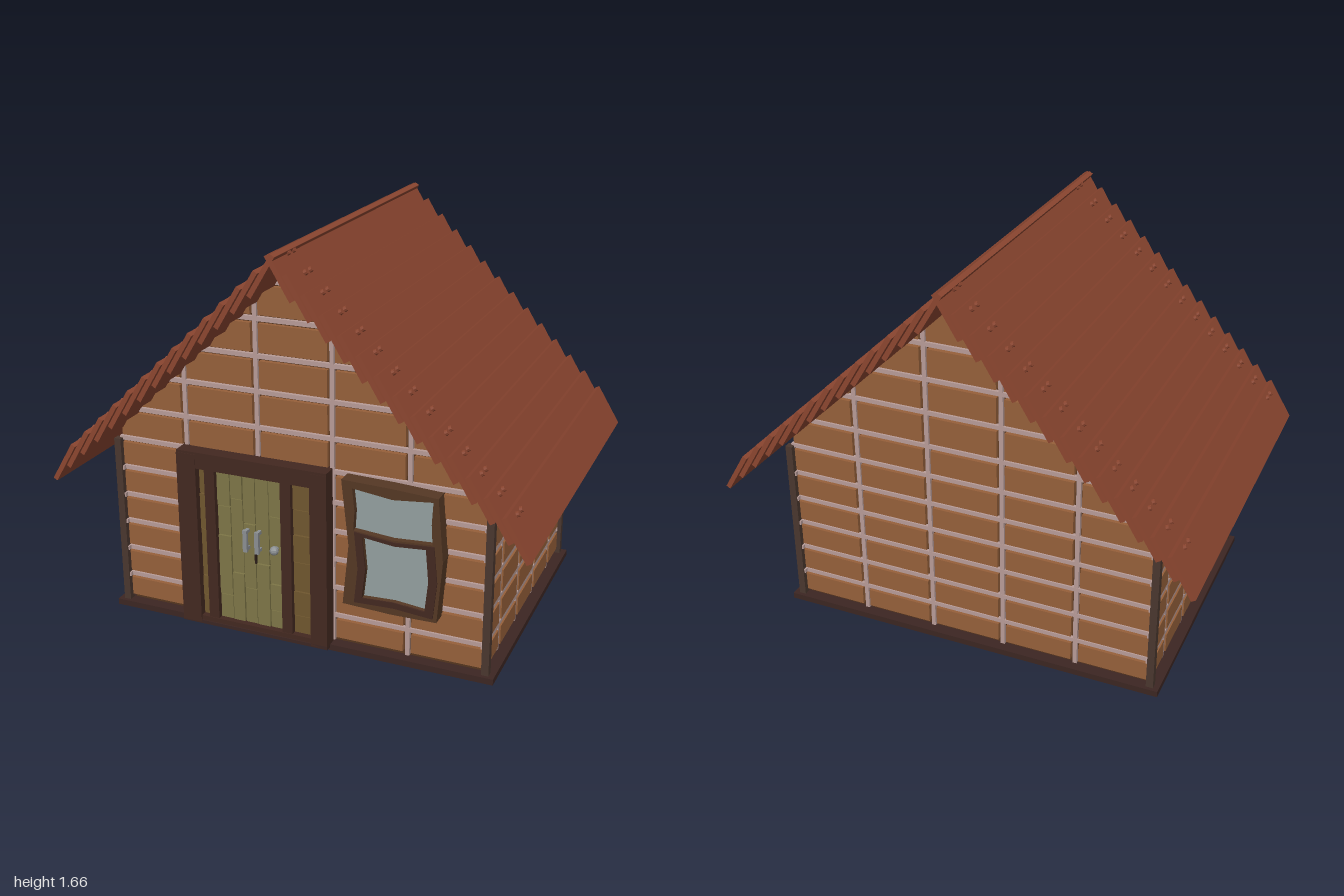
import * as THREE from 'three';
import { mergeGeometries } from 'three/addons/utils/BufferGeometryUtils.js';

const mat = (color) => new THREE.MeshStandardMaterial({ color, flatShading: true });
const M = {
  plank: mat(0x96603a), grout: mat(0xb89c98), core: mat(0x55351f), base: mat(0x3c2622),
  post: mat(0x4a372e), roof: mat(0x8c4630), frame: mat(0x432820), window: mat(0x553824),
  glass: mat(0x93a09f), door: mat(0x7e7647), side: mat(0x70572f), metal: mat(0x8b8f92), dark: mat(0x2a1d16),
};

function add(parent, name, geo, material, x = 0, y = 0, z = 0) {
  const m = new THREE.Mesh(geo, material);
  m.name = name;
  m.position.set(x, y, z);
  parent.add(m);
  return m;
}

// Box given by its limits
function slab(x0, x1, y0, y1, z0, z1) {
  return new THREE.BoxGeometry(x1 - x0, y1 - y0, z1 - z0)
    .translate((x0 + x1) / 2, (y0 + y1) / 2, (z0 + z1) / 2);
}

function plate(points, depth, z = 0, holes = []) {
  const toV = (pts) => pts.map(([x, y]) => new THREE.Vector2(x, y));
  const s = new THREE.Shape(toV(points));
  holes.forEach((h) => s.holes.push(new THREE.Path(toV(h))));
  return new THREE.ExtrudeGeometry(s, { depth, bevelEnabled: false }).translate(0, 0, z);
}

// Gable line: y = PEAK - SLOPE * |x|
const PEAK = 1.6, SLOPE = 0.9625;

// Cut a polygon at the gable line on one side
function clip(poly, side) {
  const room = ([x, y]) => PEAK - 0.015 - SLOPE * x * side - y;
  const out = [];
  poly.forEach((p, i) => {
    const q = poly[(i + 1) % poly.length], a = room(p), b = room(q);
    if (a >= 0) out.push(p);
    if (a * b < 0) out.push([p[0] + (q[0] - p[0]) * a / (a - b), p[1] + (q[1] - p[1]) * a / (a - b)]);
  });
  return out;
}

const ROWS = [0.03, 0.145, 0.27, 0.395, 0.517, 0.64, 0.77, 0.905, 1.055, 1.2, 1.35, 1.5, 1.6];

// Planks in a grid with pale strips in the gaps, facing +z
function wall(name, cols, rows, gable) {
  const g = new THREE.Group();
  g.name = name;
  const planks = [], strips = [], gap = 0.017;
  const end = cols[cols.length - 1], top = rows[rows.length - 1];
  for (let r = 0; r < rows.length - 1; r++) {
    for (let c = 0; c < cols.length - 1; c++) {
      const x0 = cols[c] + gap, x1 = cols[c + 1] - gap, y0 = rows[r] + gap, y1 = rows[r + 1] - gap;
      let p = [[x0, y0], [x1, y0], [x1, y1], [x0, y1]];
      if (gable) p = clip(clip(p, 1), -1);
      if (p.length > 2) planks.push(plate(p, 0.02));
    }
    if (r > 0) {
      const w = gable ? Math.min(end, (PEAK - rows[r]) / SLOPE) : end;
      strips.push(slab(-w, w, rows[r] - 0.009, rows[r] + 0.009, 0, 0.016));
    }
  }
  cols.slice(1, -1).forEach((x) => {
    const h = gable ? PEAK - SLOPE * Math.abs(x) : top;
    strips.push(slab(x - 0.009, x + 0.009, rows[0], h, 0, 0.0155));
  });
  add(g, 'planks', mergeGeometries(planks), M.plank);
  add(g, 'strips', mergeGeometries(strips), M.grout);
  return g;
}

function walls() {
  const g = new THREE.Group();
  g.name = 'walls';
  const e = PEAK - SLOPE * 0.78;
  add(g, 'core', plate([[-0.78, 0.02], [0.78, 0.02], [0.78, e], [0, PEAK], [-0.78, e]], 1.1, -0.55), M.core);
  for (const s of [1, -1]) {
    const end = wall(s > 0 ? 'frontWall' : 'backWall', [-0.8, -0.485, -0.165, 0.155, 0.475, 0.8], ROWS, true);
    end.rotation.y = s > 0 ? 0 : Math.PI;
    end.position.z = s * 0.55;
    const flank = wall(s > 0 ? 'leftWall' : 'rightWall', [-0.58, -0.385, -0.13, 0.13, 0.385, 0.58], ROWS.slice(0, 7), false);
    flank.rotation.y = s * Math.PI / 2;
    flank.position.x = s * 0.78;
    g.add(end, flank);
    for (const t of [1, -1]) {
      add(g, 'cornerPost', new THREE.BoxGeometry(0.03, 0.75, 0.03), M.post, s * 0.802, 0.395, t * 0.57);
    }
  }
  return g;
}

// Overlapping boards, each lower one lying over the one above
function roofSide(s) {
  const g = new THREE.Group();
  g.name = s > 0 ? 'leftRoof' : 'rightRoof';
  const tilt = Math.atan2(0.165, 0.1), boards = [], screws = [];
  for (let i = 0; i < 14; i++) {
    const x = 0.037 + 0.07 * i, y = 1.572 - 0.0665 * i;
    const place = (geo) => geo.rotateZ(-s * tilt).translate(s * x, y, 0);
    boards.push(place(new THREE.BoxGeometry(0.19, 0.02, 1.52)));
    const shift = 0.005 * i * 0.6;
    for (const end of s > 0 ? [1] : [1, -1]) {
      for (const z of [0.585, 0.63]) {
        screws.push(place(new THREE.CylinderGeometry(0.01, 0.012, 0.016, 8)
          .translate(-s * 0.068, 0.014, end > 0 ? z + shift : -z - 0.02)));
      }
    }
  }
  add(g, 'boards', mergeGeometries(boards), M.roof);
  add(g, 'screws', mergeGeometries(screws), M.roof);
  return g;
}

function door() {
  const g = new THREE.Group();
  g.name = 'door';
  // Frame posts and header
  const posts = [[-0.5, -0.415, 0.63], [-0.38, -0.335, 0.622], [-0.045, 0, 0.622], [0.085, 0.157, 0.63]];
  posts.forEach(([a, b, z]) => add(g, 'doorPost', slab(a, b, 0.02, 0.775, 0.55, z), M.frame));
  add(g, 'doorHeader', slab(-0.5, 0.157, 0.715, 0.785, 0.55, 0.628), M.frame);
  add(g, 'doorSill', slab(-0.5, 0.157, 0.02, 0.05, 0.55, 0.625), M.frame);
  add(g, 'doorBack', slab(-0.48, 0.14, 0.03, 0.75, 0.55, 0.59), M.dark);
  // Short boards with staggered joints
  const boards = (name, xs, material, joints) => {
    const parts = [];
    for (let i = 0; i < xs.length - 1; i++) {
      const ys = [0.05, ...joints[i % joints.length], 0.715];
      for (let k = 0; k < ys.length - 1; k++) {
        parts.push(slab(xs[i] + 0.002, xs[i + 1] - 0.002, ys[k] + 0.002, ys[k + 1] - 0.002, 0.58, 0.602 + 0.003 * ((i + k) % 2)));
      }
    }
    add(g, name, mergeGeometries(parts), material);
  };
  boards('doorBoards', [-0.335, -0.275, -0.22, -0.165, -0.105, -0.045], M.door, [[0.16, 0.43, 0.56], [0.27, 0.6], [0.21, 0.5], [0.33], [0.13, 0.25, 0.55]]);
  boards('leftPanel', [-0.415, -0.38], M.side, [[0.14, 0.23, 0.44, 0.6]]);
  boards('rightPanel', [0, 0.085], M.side, [[0.13, 0.24, 0.37, 0.49, 0.6]]);
  // Pull handles, keyhole and knob
  for (const x of [-0.197, -0.145]) {
    add(g, 'handle', slab(x - 0.009, x + 0.009, 0.39, 0.485, 0.625, 0.64), M.metal);
    for (const y of [0.4, 0.475]) add(g, 'handleMount', slab(x - 0.007, x + 0.007, y - 0.007, y + 0.007, 0.6, 0.63), M.metal);
  }
  add(g, 'keySlot', slab(-0.17, -0.161, 0.33, 0.46, 0.6, 0.608), M.dark);
  add(g, 'knobStem', new THREE.CylinderGeometry(0.009, 0.009, 0.03, 8).rotateX(Math.PI / 2), M.metal, -0.072, 0.415, 0.61);
  add(g, 'knob', new THREE.SphereGeometry(0.019, 10, 8), M.metal, -0.072, 0.415, 0.627);
  return g;
}

function windowUnit() {
  const g = new THREE.Group();
  g.name = 'window';
  // Crooked frame with two openings
  const outer = [[0.225, 0.245], [0.43, 0.237], [0.615, 0.24], [0.635, 0.5], [0.612, 0.76], [0.42, 0.77], [0.22, 0.775], [0.25, 0.5]];
  const upper = [[0.27, 0.57], [0.43, 0.557], [0.592, 0.567], [0.587, 0.65], [0.592, 0.742], [0.43, 0.725], [0.265, 0.745], [0.275, 0.65]];
  const lower = [[0.308, 0.287], [0.44, 0.293], [0.567, 0.28], [0.58, 0.41], [0.568, 0.545], [0.44, 0.535], [0.308, 0.55], [0.322, 0.41]];
  add(g, 'windowFrame', plate(outer, 0.07, 0.56, [upper, lower]), M.window);
  add(g, 'upperPane', plate(upper, 0.04, 0.565), M.glass);
  add(g, 'lowerPane', plate(lower, 0.045, 0.565), M.glass);
  // Raised lower sash
  const sash = [[0.275, 0.262], [0.44, 0.268], [0.6, 0.255], [0.615, 0.41], [0.6, 0.562], [0.44, 0.55], [0.275, 0.566], [0.29, 0.41]];
  add(g, 'lowerSash', plate(sash, 0.008, 0.627, [lower]), M.frame);
  return g;
}

export function createModel() {
  const house = new THREE.Group();
  house.name = 'cabin';
  add(house, 'base', slab(-0.84, 0.84, 0, 0.026, -0.6, 0.6), M.base);
  add(house, 'doorstep', slab(-0.5, 0.157, 0.015, 0.03, 0.58, 0.63), M.base);
  house.add(walls(), roofSide(1), roofSide(-1), door(), windowUnit());
  return house;
}
